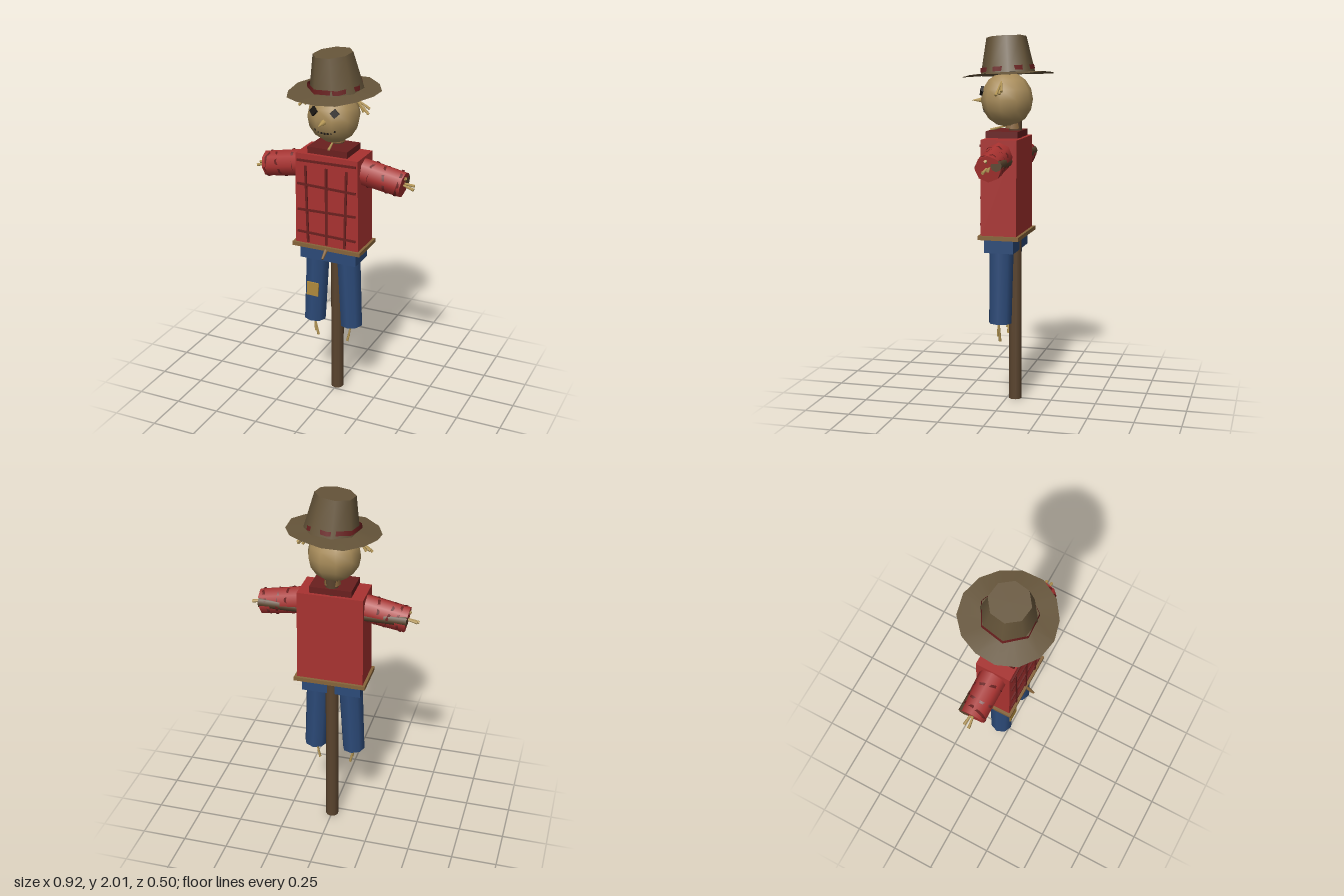
import * as THREE from 'three';

const mat = (color, opts = {}) => new THREE.MeshStandardMaterial({ color, ...opts });
const V = (x, y, z) => new THREE.Vector3(x, y, z);

export function createModel() {
  const root = new THREE.Group();
  root.name = 'scarecrow';

  const wood = mat(0x5a442e), shirt = mat(0xa83230), plaid = mat(0x6a1f1e, { side: THREE.DoubleSide });
  const denim = mat(0x2c4a78), rope = mat(0x86643a), straw = mat(0xb89a58);
  const sack = mat(0xa88c5a), felt = mat(0x66553a, { side: THREE.DoubleSide });
  const dark = mat(0x1c1814), patchCloth = mat(0xb08a3c);

  const add = (name, geo, material, pos = [0, 0, 0], rot = [0, 0, 0], parent = root) => {
    const m = new THREE.Mesh(geo, material);
    m.name = name;
    m.position.set(...pos);
    m.rotation.set(...rot);
    parent.add(m);
    return m;
  };
  const box = (name, size, material, pos, rot, parent) =>
    add(name, new THREE.BoxGeometry(...size), material, pos, rot, parent);
  // Tapered rod running from point a to point b
  const rod = (name, a, b, ra, rb, sides, material) => {
    const d = b.clone().sub(a);
    const m = add(name, new THREE.CylinderGeometry(rb, ra, d.length(), sides), material);
    m.position.copy(a).addScaledVector(d, 0.5);
    m.quaternion.setFromUnitVectors(V(0, 1, 0), d.normalize());
    return m;
  };

  // Wooden frame
  rod('pole', V(0, 0, -0.045), V(0, 1.58, -0.045), 0.036, 0.036, 10, wood);
  rod('crossbar', V(-0.405, 1.35, -0.045), V(0.405, 1.35, -0.045), 0.03, 0.03, 8, wood);

  // Shirt body, slightly narrower at the shoulders
  const body = new THREE.BoxGeometry(0.37, 0.52, 0.195);
  const p = body.attributes.position;
  for (let i = 0; i < p.count; i++) if (p.getY(i) > 0) p.setX(i, p.getX(i) * 0.97);
  body.computeVertexNormals();
  add('shirt', body, shirt, [0, 1.2, 0.0025]);
  box('collar', [0.23, 0.035, 0.175], plaid, [0, 1.482, 0.003]);

  // Plaid stripes on the chest
  [[-0.115, 0.03], [0, 0], [0.112, -0.02]].forEach(([x, tilt]) =>
    box('plaidStripe', [0.012, 0.44, 0.012], plaid, [x, 1.175, 0.102], [0, 0, tilt]));
  [[1.425, 0.015], [1.285, -0.03], [1.145, 0.02], [1.01, -0.02]].forEach(([y, tilt]) =>
    box('plaidStripe', [0.34, 0.012, 0.012], plaid, [0, y, 0.102], [0, 0, tilt]));

  // Rope belt and its loose end
  box('belt', [0.4, 0.022, 0.225], rope, [0, 0.936, 0.002]);
  rod('ropeEnd', V(0, 0.93, 0.105), V(0, 0.893, 0.155), 0.011, 0.006, 6, rope);

  // Trousers
  box('hips', [0.33, 0.085, 0.16], denim, [0, 0.892, 0.006]);
  for (const s of [-1, 1]) {
    rod('trouserLeg', V(s * 0.112, 0.455, 0.011), V(s * 0.092, 0.87, 0.009), 0.063, 0.068, 8, denim);
    rod('footStraw', V(s * 0.115, 0.46, 0.018), V(s * 0.09, 0.345, 0.018), 0.004, 0.008, 5, straw);
    rod('footStraw', V(s * 0.112, 0.46, 0.022), V(s * 0.102, 0.375, 0.028), 0.004, 0.006, 5, straw);
  }
  box('kneePatch', [0.07, 0.08, 0.008], patchCloth, [-0.096, 0.66, 0.077], [0, 0, -0.03]);

  // Sleeves with slanted bands, and straw hands
  for (const s of [-1, 1]) {
    const a = V(s * 0.16, 1.375, 0), b = V(s * 0.4, 1.333, 0);
    rod('sleeve', a, b, 0.076, 0.071, 8, shirt);
    [0.3, 0.6, 0.88].forEach((t, i) => {
      const r = 0.078 - t * 0.004;
      const ring = rod('sleeveBand', a, b, r, r, 7, plaid);
      ring.geometry = new THREE.CylinderGeometry(r, r, 0.014, 7, 1, true);
      ring.position.lerpVectors(a, b, t);
      ring.rotateY(i * 1.3);
      ring.rotateX(i === 1 ? -0.25 : 0.25);
    });
    [[0.46, 1.318, 0.012], [0.455, 1.33, -0.015], [0.415, 1.375, 0.01]].forEach(([x, y, z]) =>
      rod('handStraw', V(s * 0.36, 1.345, z * 0.2), V(s * x, y, z), 0.004, 0.009, 5, straw));
  }

  // Sack head
  const head = add('head', new THREE.SphereGeometry(0.143, 10, 8), sack, [0, 1.665, 0.002]);
  head.scale.set(1, 1.03, 0.98);
  add('neckTie', new THREE.CylinderGeometry(0.042, 0.046, 0.03, 8), rope, [0, 1.525, -0.035]);
  rod('neckStraw', V(0.0, 1.525, 0.0), V(0.01, 1.5, 0.092), 0.004, 0.008, 5, straw);

  // Face
  for (const s of [-1, 1])
    box('eye', [0.036, 0.036, 0.014], dark, [s * 0.06, 1.712, 0.126], [-0.2, s * 0.35, Math.PI / 4]);
  rod('nose', V(0, 1.66, 0.125), V(0, 1.657, 0.197), 0.018, 0.001, 6, straw);
  for (let i = -3; i <= 3; i++) {
    const x = i * 0.018, y = 1.596 + 5 * x * x;
    box('mouthStitch', [0.009, 0.01, 0.012], dark, [x, y, 0.119 - 2.5 * x * x]);
  }

  // Straw hair beside the head
  for (const s of [-1, 1])
    [[0.2, 1.695, 0.012], [0.195, 1.715, -0.018], [0.17, 1.7, 0.0]].forEach(([x, y, z]) =>
      rod('hairStraw', V(s * 0.125, 1.765, 0), V(s * x, y, z), 0.004, 0.008, 5, straw));

  // Hat, tipped forward and to one side
  const hat = new THREE.Group();
  hat.name = 'hat';
  hat.position.set(0, 1.803, 0);
  hat.rotation.set(0.06, 0, 0.045);
  root.add(hat);

  // Wavy brim
  const brim = new THREE.CylinderGeometry(0.12, 0.25, 0.012, 14, 1, false);
  const q = brim.attributes.position;
  for (let i = 0; i < q.count; i++) {
    const x = q.getX(i), z = q.getZ(i), r = Math.hypot(x, z), ang = Math.atan2(z, x);
    if (r > 0.2) {
      const k = 1 + 0.02 * Math.sin(ang * 3 + 1);
      q.setXYZ(i, x * k, q.getY(i) + 0.006 * Math.sin(ang * 4), z * k);
    }
  }
  brim.computeVertexNormals();
  add('hatBrim', brim, felt, [0, 0, 0], [0, 0, 0], hat);

  // Crown with a top leaning to one side
  const crown = new THREE.CylinderGeometry(0.107, 0.146, 0.195, 8);
  add('hatCrown', crown, felt, [0.008, 0.096, -0.006], [0, 0.25, 0.04], hat);
  add('hatBand', new THREE.CylinderGeometry(0.146, 0.15, 0.024, 7, 1, true), plaid,
    [0.006, 0.026, -0.003], [0.03, 0.5, -0.02], hat);

  return root;
}
